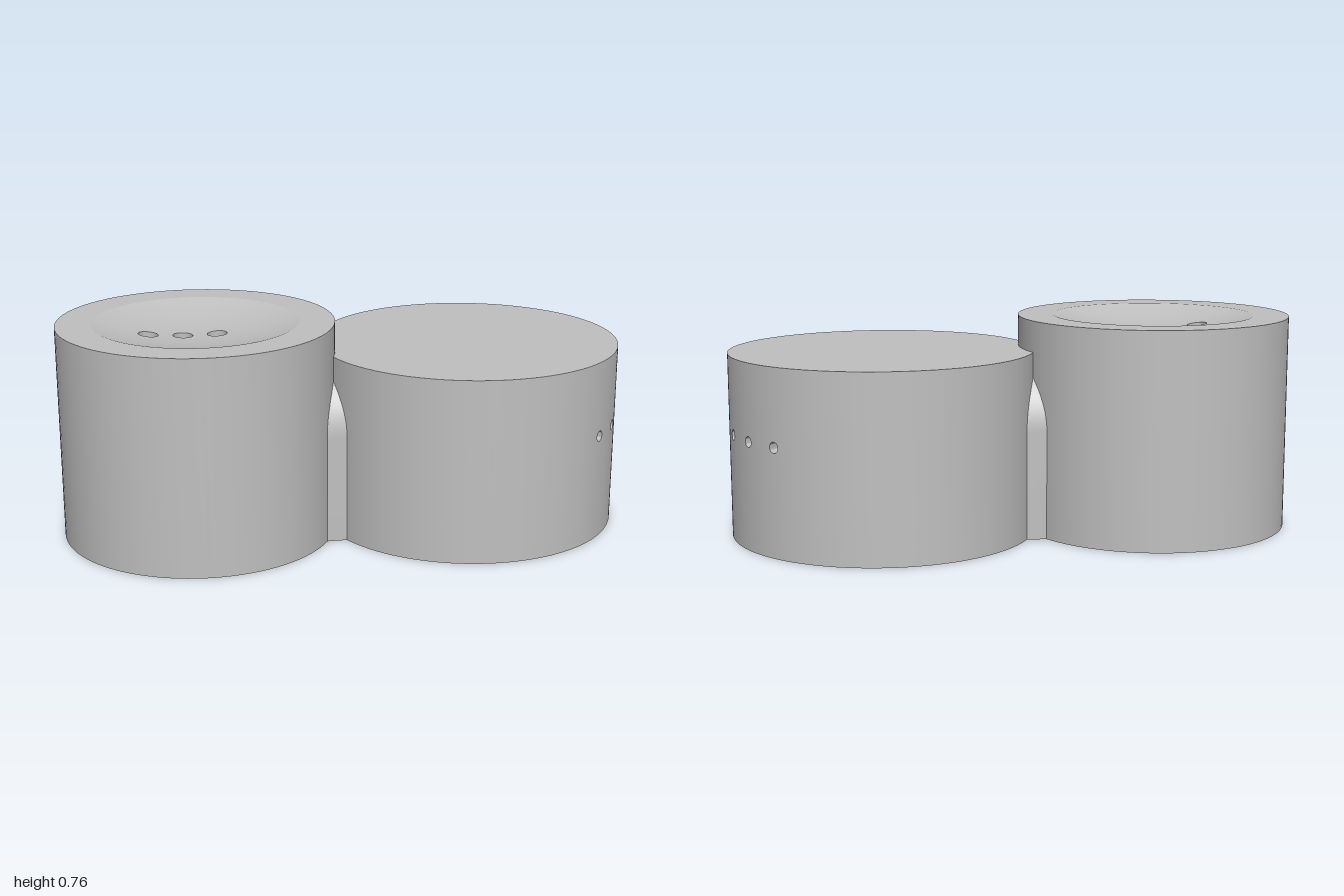
import * as THREE from 'three';
import { toCreasedNormals } from 'three/addons/utils/BufferGeometryUtils.js';

const TAU = Math.PI * 2, DEG = Math.PI / 180;
const TALL = { x: -0.515, r: 0.485, h: 0.76 };
const WIDE = { x: 0.46, r: 0.54, h: 0.65 };
const DISH = { r: 0.36, depth: 0.05 };
const HOLE_Y = 0.38;

// Closed loops of matching points: both start at the lower left corner
function rectLoop(u0, u1, v0, v1, n) {
  const c = [[u0, v0], [u1, v0], [u1, v1], [u0, v1]], pts = [];
  for (let s = 0; s < 4; s++) {
    const a = c[s], b = c[(s + 1) % 4];
    for (let i = 0; i < n; i++) pts.push([a[0] + (b[0] - a[0]) * i / n, a[1] + (b[1] - a[1]) * i / n]);
  }
  return pts;
}
function circleLoop(u, v, r, n) {
  return Array.from({ length: n * 4 }, (_, i) => {
    const a = -0.75 * Math.PI + TAU * i / (n * 4);
    return [u + r * Math.cos(a), v + r * Math.sin(a)];
  });
}

// Surface between two loops, placed on a curved surface by a rule
function loft(inner, outer, rows, place) {
  const n = inner.length, pos = [], nor = [], idx = [];
  for (let j = 0; j <= rows; j++) for (let i = 0; i < n; i++) {
    const t = j / rows, a = inner[i], b = outer[i];
    const { p, normal } = place(a[0] + (b[0] - a[0]) * t, a[1] + (b[1] - a[1]) * t);
    pos.push(p.x, p.y, p.z);
    nor.push(normal.x, normal.y, normal.z);
  }
  const at = (k) => new THREE.Vector3().fromArray(pos, k * 3);
  const face = (a, b, c) => {
    const f = at(b).sub(at(a)).cross(at(c).sub(at(a)));
    if (f.dot(new THREE.Vector3().fromArray(nor, a * 3)) < 0) idx.push(a, c, b);
    else idx.push(a, b, c);
  };
  for (let j = 0; j < rows; j++) for (let i = 0; i < n; i++) {
    const k = (i + 1) % n, a = j * n + i, b = j * n + k;
    face(a, b, b + n);
    face(a, b + n, a + n);
  }
  const g = new THREE.BufferGeometry();
  g.setAttribute('position', new THREE.Float32BufferAttribute(pos, 3));
  g.setAttribute('normal', new THREE.Float32BufferAttribute(nor, 3));
  g.setIndex(idx);
  return g;
}

function lathe(profile, segments, start = 0, length = TAU) {
  const g = new THREE.LatheGeometry(profile.map(([x, y]) => new THREE.Vector2(x, y)), segments, start, length);
  return toCreasedNormals(g, 35 * DEG);
}

// Blind hole opening at y = 0
const bore = (r, depth) => lathe([[r, 0], [r, -depth], [0, -depth]], 32);

function dishHeight(x, z) {
  const R = (DISH.r ** 2 + DISH.depth ** 2) / (2 * DISH.depth);
  return TALL.h - DISH.depth + R - Math.sqrt(R * R - x * x - z * z);
}
function onDish(x, z) {
  const R = (DISH.r ** 2 + DISH.depth ** 2) / (2 * DISH.depth);
  const y = Math.sqrt(R * R - x * x - z * z);
  return { p: new THREE.Vector3(x, dishHeight(x, z), z), normal: new THREE.Vector3(-x, y, -z).divideScalar(R) };
}
function onWideWall(a, y) {
  const normal = new THREE.Vector3(Math.cos(a), 0, Math.sin(a));
  const p = normal.clone().multiplyScalar(WIDE.r);
  p.y = y;
  return { p, normal };
}

export function createModel() {
  const model = new THREE.Group();
  const grey = new THREE.MeshStandardMaterial({ color: 0xc0c0c0, side: THREE.DoubleSide });
  grey.name = 'grey';
  const add = (parent, name, geometry) => {
    const m = new THREE.Mesh(geometry, grey);
    m.name = name;
    parent.add(m);
    return m;
  };

  // Tall container: hollow, with a filling hole underneath
  const tall = new THREE.Group();
  tall.name = 'tallContainer';
  tall.position.x = TALL.x;
  model.add(tall);
  add(tall, 'tallBody', lathe([
    [0, 0.5], [0.3, 0.5], [0.3, 0.06], [0.105, 0.06], [0.105, 0],
    [TALL.r, 0], [TALL.r, TALL.h], [DISH.r, TALL.h],
  ], 96));

  // Dished top with a row of three holes
  add(tall, 'dish', loft(rectLoop(-0.225, 0.135, -0.06, 0.06, 24), circleLoop(0, 0, DISH.r, 24), 12, onDish));
  for (const x of [-0.165, -0.045, 0.075]) {
    add(tall, 'dishHoleSurround',
      loft(circleLoop(x, 0, 0.035, 8), rectLoop(x - 0.06, x + 0.06, -0.06, 0.06, 8), 2, onDish));
    const g = bore(0.035, 0.1).translate(x, TALL.h - DISH.depth, 0);
    const p = g.attributes.position;
    for (let i = 0; i < p.count; i++) {
      if (p.getY(i) > TALL.h - DISH.depth - 0.01) p.setY(i, dishHeight(p.getX(i), p.getZ(i)));
    }
    add(tall, 'topHole', g);
  }

  // Wide container: plain ends and wall, with a perforated strip of wall
  const wide = new THREE.Group();
  wide.name = 'wideContainer';
  wide.position.x = WIDE.x;
  model.add(wide);
  add(wide, 'wideBase', lathe([[0, 0], [WIDE.r, 0]], 192));
  add(wide, 'wideTop', lathe([[WIDE.r, WIDE.h], [0, WIDE.h]], 192));
  add(wide, 'wideWall', lathe([[WIDE.r, 0], [WIDE.r, WIDE.h]], 136, 142.5 * DEG, 255 * DEG));
  for (let i = -3; i <= 3; i++) {
    const a = i * 15 * DEG, half = 7.5 * DEG, r = 0.019;
    const ring = circleLoop(0, 0, r, 8).map(([u, v]) => [a + u / WIDE.r, HOLE_Y + v]);
    add(wide, 'perforatedWall', loft(ring, rectLoop(a - half, a + half, 0, WIDE.h, 8), 6, onWideWall));
    const hole = add(wide, 'sideHole', bore(r, 0.16).rotateZ(-Math.PI / 2).rotateY(-a));
    hole.position.set(WIDE.r * Math.cos(a), HOLE_Y, WIDE.r * Math.sin(a));
  }

  // Arched bridge joining the two containers
  const arch = new THREE.Shape();
  arch.moveTo(-0.24, 0);
  arch.lineTo(0.24, 0);
  arch.lineTo(0.24, HOLE_Y);
  arch.absarc(0, HOLE_Y, 0.24, 0, Math.PI, false);
  arch.closePath();
  const bridge = new THREE.ExtrudeGeometry(arch, { depth: 0.18, bevelEnabled: false, curveSegments: 32 });
  bridge.rotateY(Math.PI / 2).translate(-0.15, 0, 0);
  add(model, 'bridge', toCreasedNormals(bridge, 35 * DEG));

  return model;
}
